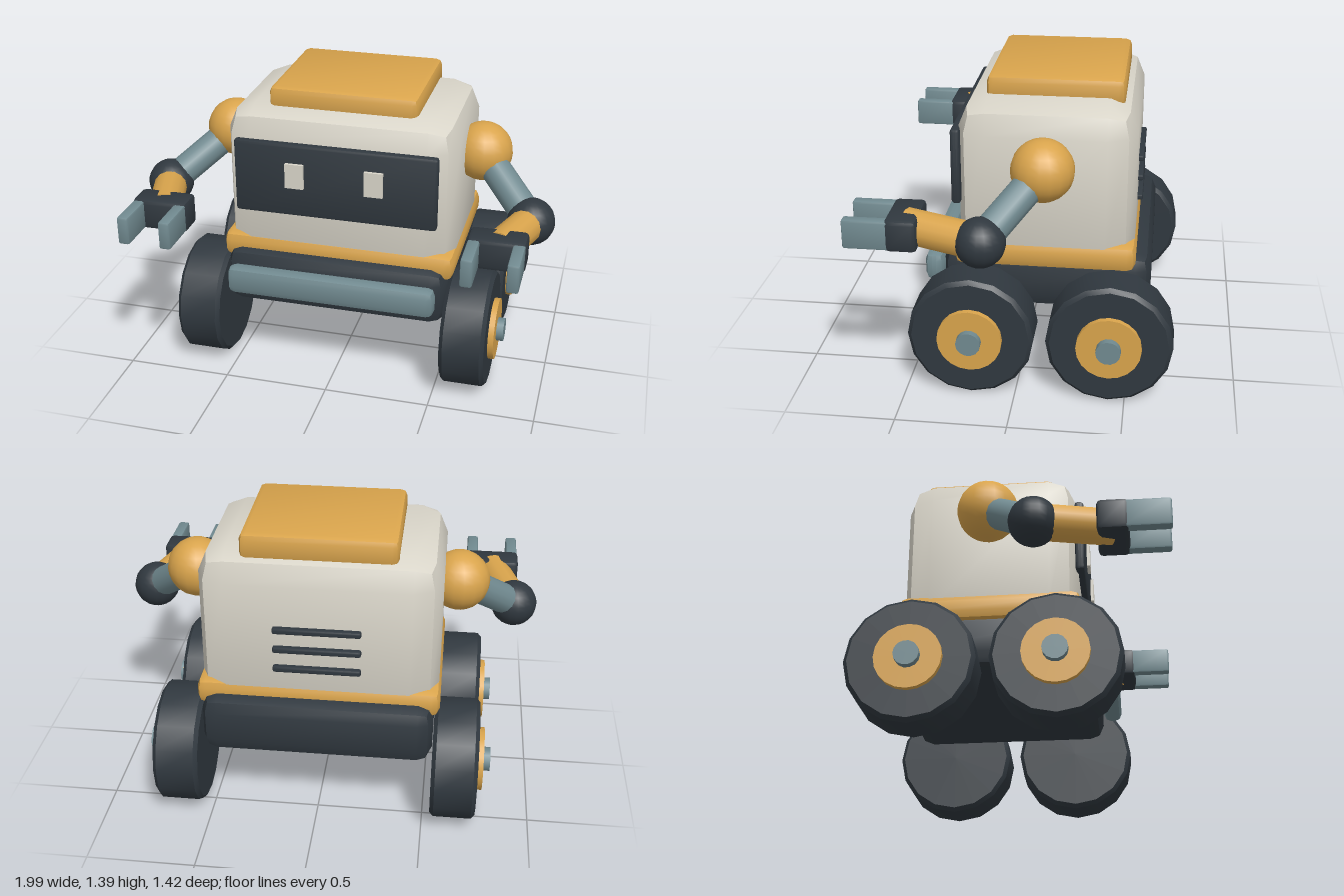
import * as THREE from 'three';
import { toCreasedNormals } from 'three/addons/utils/BufferGeometryUtils.js';
import { RoundedBoxGeometry } from 'three/addons/geometries/RoundedBoxGeometry.js';

const material = (name, color) => {
  const m = new THREE.MeshStandardMaterial({ color });
  m.name = name;
  return m;
};

export function createModel() {
  const shell = material('warm white', 0xd9d5c9);
  const gold = material('ochre', 0xd9a44c);
  const dark = material('charcoal', 0x30383f);
  const steel = material('blue grey', 0x718a90);
  const model = new THREE.Group();
  model.name = 'roverRobot';

  const add = (parent, name, geometry, mat, x = 0, y = 0, z = 0) => {
    const mesh = new THREE.Mesh(geometry, mat);
    mesh.name = name;
    mesh.position.set(x, y, z);
    parent.add(mesh);
    return mesh;
  };

  // Box with two-facet rounded edges, given by its min and max corners
  const block = (parent, name, mat, [x0, y0, z0], [x1, y1, z1], r) => add(parent, name,
    toCreasedNormals(new RoundedBoxGeometry(x1 - x0, y1 - y0, z1 - z0, 1, r), 0.6),
    mat, (x0 + x1) / 2, (y0 + y1) / 2, (z0 + z1) / 2);

  // Cylinder between two points
  const limb = (parent, name, mat, a, b, r) => {
    const dir = b.clone().sub(a);
    const mesh = add(parent, name, new THREE.CylinderGeometry(r, r, dir.length(), 14), mat);
    mesh.position.copy(a).add(b).multiplyScalar(0.5);
    mesh.quaternion.setFromUnitVectors(new THREE.Vector3(0, 1, 0), dir.normalize());
  };

  // Body
  block(model, 'chassis', dark, [-0.533, 0.345, -0.595], [0.533, 0.63, 0.355], 0.07);
  block(model, 'skirt', gold, [-0.56, 0.562, -0.525], [0.56, 0.69, 0.3], 0.04);
  block(model, 'body', shell, [-0.55, 0.5, -0.515], [0.55, 1.32, 0.287], 0.13);
  block(model, 'roofHatch', gold, [-0.352, 1.27, -0.45], [0.352, 1.403, 0.17], 0.03);
  block(model, 'bumper', steel, [-0.5, 0.44, 0.36], [0.5, 0.578, 0.448], 0.035);
  block(model, 'facePanel', dark, [-0.48, 0.83, 0.275], [0.48, 1.19, 0.318], 0.015);

  // Rear vents
  for (const y of [0.785, 0.883, 0.98]) {
    block(model, 'rearVent', dark, [-0.2, y - 0.015, -0.54], [0.2, y + 0.015, -0.5], 0.01);
  }

  // Wheel parts, turned about the local y axis
  const tyreProfile = [[0, -0.105], [0.268, -0.105], [0.286, -0.087],
    [0.286, 0.087], [0.268, 0.105], [0, 0.105]].map(([r, y]) => new THREE.Vector2(r, y));
  const tyre = toCreasedNormals(new THREE.LatheGeometry(tyreProfile, 16), 0.6);
  const hub = new THREE.CylinderGeometry(0.147, 0.147, 0.06, 20);
  const axleCap = new THREE.CylinderGeometry(0.056, 0.056, 0.1, 14);

  for (const side of [-1, 1]) {
    const sideName = side > 0 ? 'left' : 'right';

    // Eye
    const eye = add(model, sideName + 'Eye', new THREE.BoxGeometry(0.088, 0.12, 0.03), shell);
    eye.position.set(side * 0.187, 1.038, 0.318);

    // Wheels
    for (const [end, z] of [['Front', 0.2], ['Rear', -0.425]]) {
      const wheel = new THREE.Group();
      wheel.name = sideName + end + 'Wheel';
      wheel.position.set(side * 0.642, 0.294, z);
      wheel.rotation.z = -side * Math.PI / 2;
      add(wheel, 'tyre', tyre, dark);
      add(wheel, 'hub', hub, gold, 0, 0.102, 0);
      add(wheel, 'axleCap', axleCap, steel, 0, 0.115, 0);
      model.add(wheel);
    }

    // Arm
    const arm = new THREE.Group();
    arm.name = sideName + 'Arm';
    const shoulder = new THREE.Vector3(side * 0.617, 1.073, -0.113);
    const elbow = new THREE.Vector3(side * 0.887, 0.845, 0.12);
    const wrist = new THREE.Vector3(side * 0.783, 0.858, 0.455);
    add(arm, 'shoulder', new THREE.SphereGeometry(0.141, 18, 14), gold, ...shoulder);
    add(arm, 'elbow', new THREE.SphereGeometry(0.11, 18, 14), dark, ...elbow);
    limb(arm, 'upperArm', steel, shoulder, elbow, 0.072);
    limb(arm, 'forearm', gold, elbow, wrist, 0.08);

    // Gripper
    const px = side * 0.78;
    block(arm, 'palm', dark, [px - 0.13, 0.784, 0.39], [px + 0.13, 0.93, 0.53], 0.02);
    for (const dx of [-0.099, 0.099]) {
      block(arm, 'finger', steel, [px + dx - 0.027, 0.79, 0.5], [px + dx + 0.027, 0.923, 0.712], 0.01);
    }
    model.add(arm);
  }
  return model;
}
